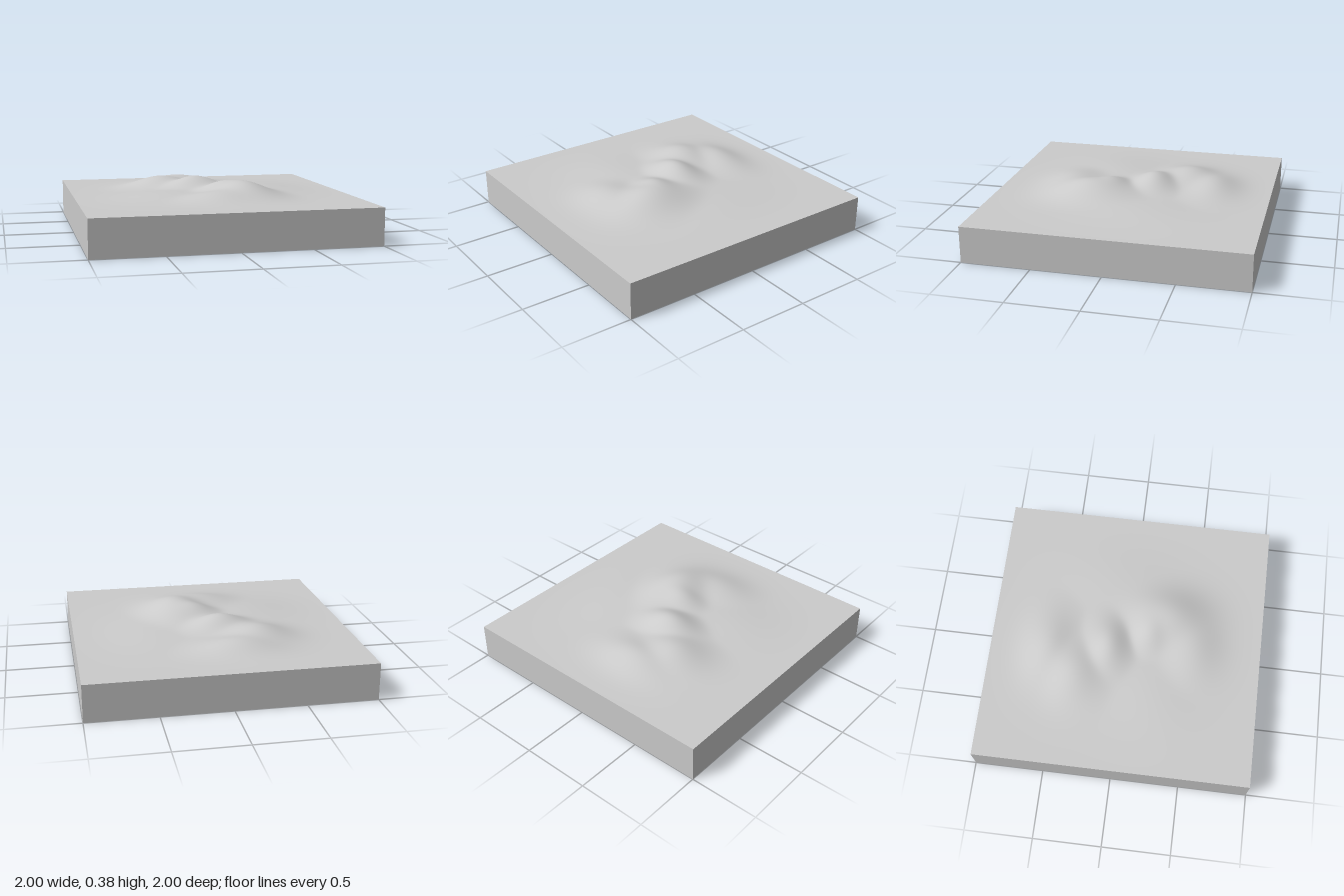
import * as THREE from 'three';

const BASE = 0.265; // height of the flat rim

// Hills: x, z, height, spread in x, spread in z
const HILLS = [
  [0.2, 0.3, 0.098, 0.16, 0.21],     // front summit
  [0.0, 0.5, 0.06, 0.2, 0.15],       // front shoulder
  [0.08, 0.17, 0.07, 0.12, 0.1],     // front spur
  [-0.07, -0.13, 0.086, 0.15, 0.11], // middle summit
  [-0.3, -0.37, 0.08, 0.17, 0.15],   // back right summit
  [-0.13, -0.58, 0.072, 0.2, 0.13],  // back ridge
  [0.5, -0.1, 0.014, 0.2, 0.3],      // low left foothill
  [-0.4, 0.25, 0.018, 0.25, 0.22],   // low right foothill
];

// Hills joined by a soft maximum over a broad swell, fading to the rim
function heightAt(x, z) {
  let sum = 0;
  for (const [cx, cz, h, sx, sz] of HILLS) {
    const g = h * Math.exp(-0.5 * (((x - cx) / sx) ** 2 + ((z - cz) / sz) ** 2));
    sum += g ** 3;
  }
  const swell = 0.03 * Math.exp(-(x * x + z * z) / 0.32);
  const fade = (1 - x ** 4) * (1 - z ** 4);
  return BASE + fade * (swell + Math.cbrt(sum));
}

export function createModel() {
  const model = new THREE.Group();
  const material = new THREE.MeshStandardMaterial({ color: 0xcccccc, side: THREE.DoubleSide });

  // Terrain surface
  const ground = new THREE.PlaneGeometry(2, 2, 128, 128).rotateX(-Math.PI / 2);
  const p = ground.attributes.position;
  for (let i = 0; i < p.count; i++) p.setY(i, heightAt(p.getX(i), p.getZ(i)));
  ground.computeVertexNormals();
  const terrain = new THREE.Mesh(ground, material);
  terrain.name = 'terrain';
  model.add(terrain);

  // Four side walls, open underneath
  const walls = new THREE.Group();
  walls.name = 'sideWalls';
  ['frontWall', 'leftWall', 'backWall', 'rightWall'].forEach((name, i) => {
    const geometry = new THREE.PlaneGeometry(2, BASE)
      .translate(0, BASE / 2, 1)
      .rotateY((i * Math.PI) / 2);
    const wall = new THREE.Mesh(geometry, material);
    wall.name = name;
    walls.add(wall);
  });
  model.add(walls);

  return model;
}
